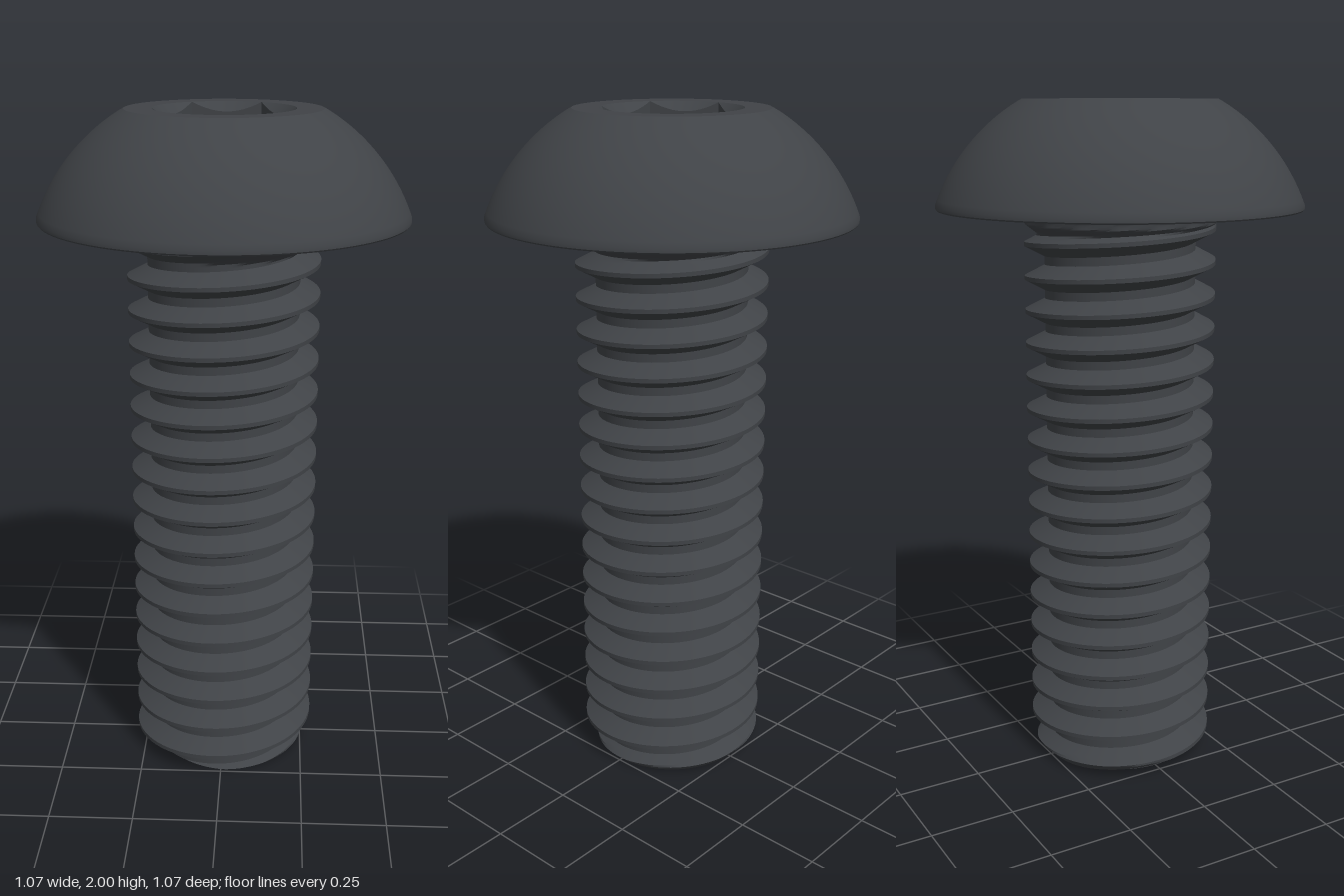
import * as THREE from 'three';
import { toCreasedNormals } from 'three/addons/utils/BufferGeometryUtils.js';

const SEG = 96;
const PITCH = 0.0986, MAJOR = 0.281, MINOR = 0.222;
const HEAD_Y = 1.692, TOP_Y = 2, HEAD_R = 0.533;
const HEX_IN = 0.176, HEX_OUT = HEX_IN / Math.cos(Math.PI / 6);

// Sweeps rows of [radius, height] around the y axis; at(row, angle) may vary with angle
function ringSurface(rows, at, crease) {
  const point = (j, i) => {
    const a = (i / SEG) * Math.PI * 2;
    const [r, y] = at(j, a);
    return new THREE.Vector3(r * Math.cos(a), y, -r * Math.sin(a));
  };
  const grid = [];
  for (let j = 0; j < rows; j++) {
    grid.push(Array.from({ length: SEG + 1 }, (_, i) => point(j, i)));
  }
  const out = [];
  const tri = new THREE.Triangle();
  const add = (a, b, c) => {
    if (tri.set(a, b, c).getArea() < 1e-9) return; // skip collapsed faces
    for (const v of [a, b, c]) out.push(v.x, v.y, v.z);
  };
  for (let j = 0; j < rows - 1; j++) {
    for (let i = 0; i < SEG; i++) {
      const a = grid[j][i], b = grid[j][i + 1], c = grid[j + 1][i + 1], d = grid[j + 1][i];
      add(a, b, c);
      add(a, c, d);
    }
  }
  const geometry = new THREE.BufferGeometry();
  geometry.setAttribute('position', new THREE.Float32BufferAttribute(out, 3));
  return toCreasedNormals(geometry, crease);
}

// Button head: flat underside, thin rim, spherical dome, flat top ring
function headGeometry() {
  const profile = [[0.2, HEAD_Y], [HEAD_R - 0.003, HEAD_Y], [HEAD_R, HEAD_Y + 0.004]];
  const centreY = 1.504, radius = 0.57;
  const start = Math.acos(HEAD_R / radius), end = Math.acos(0.28 / radius);
  for (let k = 0; k <= 24; k++) {
    const t = start + ((end - start) * k) / 24;
    profile.push([radius * Math.cos(t), Math.min(TOP_Y, centreY + radius * Math.sin(t))]);
  }
  profile.push([0.28, TOP_Y], [HEX_OUT, TOP_Y]);
  return ringSurface(profile.length, (j) => profile[j], 0.45);
}

// Hex socket: conical countersink, six walls, flat floor
function socketGeometry() {
  const floorY = TOP_Y - 0.19;
  return ringSurface(4, (j, a) => {
    const hex = HEX_IN / Math.cos((a % (Math.PI / 3)) - Math.PI / 6);
    return [[HEX_OUT, TOP_Y], [hex, TOP_Y - (HEX_OUT - hex)], [hex, floorY], [0, floorY]][j];
  }, 0.5);
}

// Right-hand thread: rows follow the helix and are cut off at both ends
function shankGeometry() {
  const perTurn = 16;
  const rows = Math.ceil((HEAD_Y / PITCH + 4) * perTurn);
  const phase = 0.095;
  const threadRadius = (turn) => {
    const d = Math.abs(turn - Math.round(turn)); // 0 at the crest, 0.5 at the root
    const t = THREE.MathUtils.clamp((d - 1 / 16) / (3 / 8 - 1 / 16), 0, 1);
    return THREE.MathUtils.lerp(MAJOR, MINOR, t);
  };
  // Run-out and fillet beneath the head
  const neckRadius = (y) => {
    const below = HEAD_Y - y;
    const fillet = below < 0.03 ? 0.03 - Math.sqrt(0.0009 - (0.03 - below) ** 2) : 0;
    return MAJOR + fillet - Math.max(0, below - 0.04) * 1.3;
  };
  return ringSurface(rows, (j, a) => {
    if (j === 0) return [0, 0]; // centre of the end face
    const lift = phase + (PITCH * a) / (Math.PI * 2);
    const y = THREE.MathUtils.clamp(lift + (j / perTurn - 3) * PITCH, 0, HEAD_Y);
    const r = Math.max(threadRadius((y - lift) / PITCH), neckRadius(y));
    return [Math.min(r, 0.24 + y), y]; // chamfered tip
  }, 0.6);
}

export function createModel() {
  const group = new THREE.Group();
  group.name = 'buttonHeadBolt';
  const steel = new THREE.MeshStandardMaterial({ color: 0x404347 });
  const parts = { head: headGeometry(), hexSocket: socketGeometry(), threadedShank: shankGeometry() };
  for (const [name, geometry] of Object.entries(parts)) {
    const mesh = new THREE.Mesh(geometry, steel);
    mesh.name = name;
    group.add(mesh);
  }
  return group;
}
